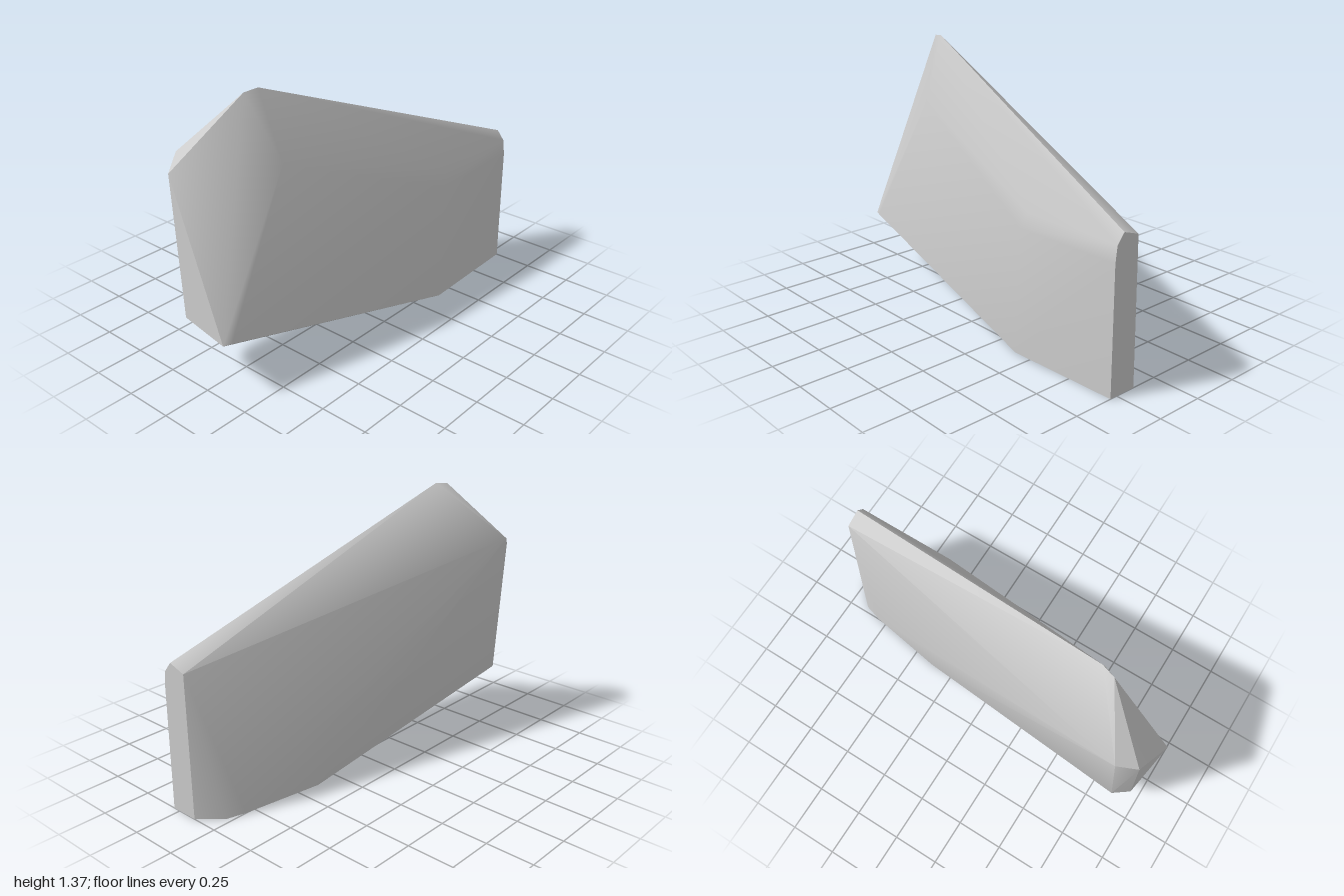
import * as THREE from 'three';
import { ConvexGeometry } from 'three/addons/geometries/ConvexGeometry.js';
import { toCreasedNormals } from 'three/addons/utils/BufferGeometryUtils.js';

// Corners of the slab-shaped boulder, grouped by region
const corners = [
  // peak
  [-0.05, 1.36, 0.64], [-0.03, 1.37, 0.57],
  // front face, upper corner
  [-0.25, 1.01, 0.93], [-0.31, 1.07, 0.83],
  // front face, lower edge
  [0.13, 0.3, 1], [0.145, 0.3, 0.96], [-0.18, 0.3, 0.95], [-0.24, 0.3, 0.87],
  // shoulder along the +x side
  [0.09, 1.03, 0.55], [0.28, 0.72, -0.45], [0.3, 0.64, -0.42],
  // back end, upper edge
  [0.15, 0.74, -1], [0.24, 0.77, -1], [0.28, 0.72, -1], [0.29, 0.64, -1],
  // base outline
  [0.31, 0, -0.4], [0.29, 0, -1], [0.14, 0, -1],
  [0.03, 0, -0.9], [0, 0, -0.8], [-0.07, 0, -0.38], [-0.05, 0, -0.23],
];

export function createModel() {
  const group = new THREE.Group();
  group.name = 'rock';

  // Convex body with softened facets and crisp main ridges
  const hull = new ConvexGeometry(corners.map((c) => new THREE.Vector3(...c)));
  const boulder = new THREE.Mesh(
    toCreasedNormals(hull, 0.7),
    new THREE.MeshStandardMaterial({ color: 0xcccccc })
  );
  boulder.name = 'boulder';
  group.add(boulder);
  return group;
}
